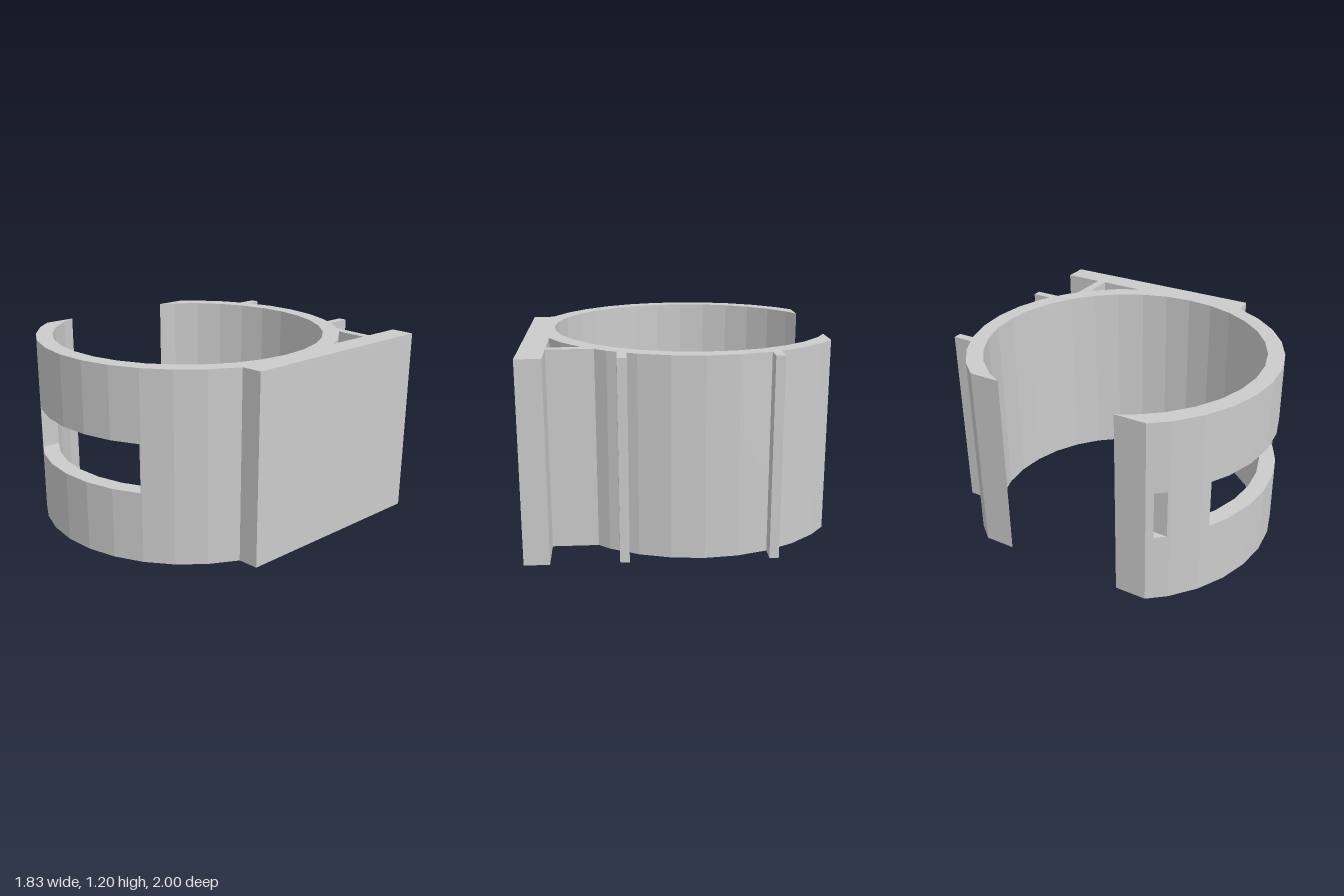
import * as THREE from 'three';

const CX = -0.13, CZ = 0.013, OUTER = 0.985, INNER = 0.88, SIDES = 32;
const CUT = -0.915;                       // plane where the ring is cut open
const SLOT = { x0: -0.62, x1: 0.41, y0: 0.445, y1: 0.75 };
const HEIGHT = 1.2;

// Points [x, z] along the faceted ring between two x values; side 1 = front, -1 = back
function arc(r, from, to, side) {
  const verts = [];
  for (let k = 0; k <= SIDES / 2; k++) {
    const a = (k * 2 * Math.PI) / SIDES;
    verts.push([CX + r * Math.cos(a), r * Math.sin(a)]);
  }
  const at = (x) => {
    const i = Math.max(1, verts.findIndex((v) => v[0] <= x));
    const [p, q] = [verts[i - 1], verts[i]];
    return [x, p[1] + ((q[1] - p[1]) * (p[0] - x)) / (p[0] - q[0])];
  };
  const lo = Math.min(from, to) + 1e-4, hi = Math.max(from, to) - 1e-4;
  const between = verts.filter((v) => v[0] > lo && v[0] < hi);
  if (from < to) between.reverse();
  return [at(from), ...between, at(to)].map(([x, z]) => [x, CZ + side * z]);
}

const toVectors = (points) => points.map(([x, z]) => new THREE.Vector2(x, -z));

// Ring, side plate, strut and fins in one outline; the front wall runs back to frontX
function bodyShape(frontX) {
  const shape = new THREE.Shape(toVectors([
    ...arc(OUTER, frontX, 0.781, 1),
    [0.91, 0.375], [0.91, -1], [0.76, -1], [0.76, -0.75],
    ...arc(OUTER, 0.485, 0.36, -1),
    [0.36, -1], [0.305, -1],
    ...arc(OUTER, 0.305, -0.505, -1),
    [-0.505, -1], [-0.56, -1],
    ...arc(OUTER, -0.56, CUT, -1),
    ...arc(INNER, CUT, CX + INNER, -1),
    ...arc(INNER, CX + INNER, frontX, 1).slice(1),
  ]));
  // Triangular opening between ring, plate and strut
  shape.holes.push(new THREE.Path(toVectors([
    [0.76, -0.69], ...arc(OUTER, 0.76, 0.56, -1),
  ])));
  return shape;
}

// Short front wall beyond the slot, with a shallow notch in its outer face
function endShape() {
  const n0 = -0.885, n1 = -0.835, floor = 0.61;
  return new THREE.Shape(toVectors([
    ...arc(OUTER, CUT, n0, 1),
    [n0, floor], [n1, floor],
    ...arc(OUTER, n1, SLOT.x0, 1),
    ...arc(INNER, SLOT.x0, CUT, 1),
  ]));
}

export function createModel() {
  const group = new THREE.Group();
  group.name = 'clampBracket';
  const material = new THREE.MeshStandardMaterial({ color: 0xcccccc, flatShading: true });

  const addLayer = (name, shape, y0, y1) => {
    const geometry = new THREE.ExtrudeGeometry(shape, { depth: y1 - y0, bevelEnabled: false });
    geometry.rotateX(-Math.PI / 2).translate(0, y0, 0);
    const mesh = new THREE.Mesh(geometry, material);
    mesh.name = name;
    group.add(mesh);
  };

  addLayer('lowerBody', bodyShape(CUT), 0, SLOT.y0);
  addLayer('slottedBody', bodyShape(SLOT.x1), SLOT.y0, SLOT.y1);
  addLayer('notchedWallEnd', endShape(), SLOT.y0, SLOT.y1);
  addLayer('upperBody', bodyShape(CUT), SLOT.y1, HEIGHT);
  return group;
}
